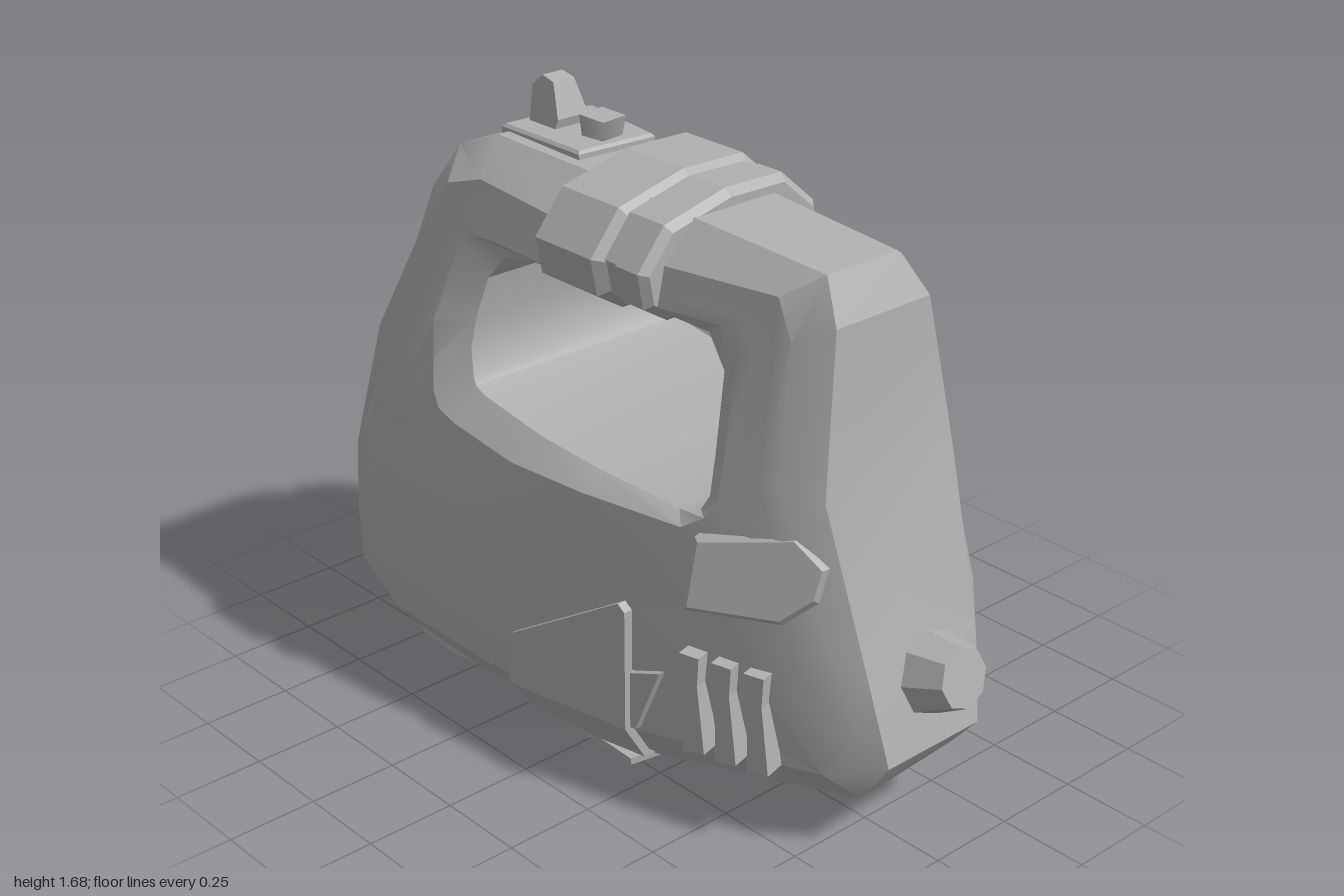
import * as THREE from 'three';
import { toCreasedNormals } from 'three/addons/utils/BufferGeometryUtils.js';

// Piecewise-linear lookup through [key, value] pairs
function curve(table, t) {
  if (t <= table[0][0]) return table[0][1];
  for (let i = 1; i < table.length; i++) {
    const [a, va] = table[i - 1], [b, vb] = table[i];
    if (t <= b) return va + (vb - va) * (t - a) / (b - a);
  }
  return table[table.length - 1][1];
}

// Surface depth of the housing: plan outline times a taper with height
const planFront = [[-1, 0.27], [-0.93, 0.35], [-0.78, 0.425], [-0.5, 0.45], [0, 0.425], [0.3, 0.37], [0.62, 0.285], [0.75, 0.225], [0.9, 0.12]];
const planBack = [[-1, 0.46], [-0.8, 0.475], [-0.1, 0.475], [0.3, 0.45], [0.62, 0.4], [0.75, 0.35], [0.9, 0.26]];
const taperFront = [[0.1, 0.9], [0.25, 1], [0.5, 1], [0.8, 0.93], [1, 0.82], [1.3, 0.63], [1.53, 0.5]];
const taperBack = [[0.1, 0.9], [0.25, 1], [0.5, 1], [0.8, 0.95], [1, 0.88], [1.3, 0.7], [1.53, 0.52]];
const frontZ = (x, y) => curve(planFront, x) * curve(taperFront, y);
const backZ = (x, y) => -curve(planBack, x) * curve(taperBack, y);

// Stations around the grip opening: outer x,y / opening rim x,y / inner edge x,y / edge width
const stations = [
  [-0.97, 0.14, -0.45, 0.86, -0.37, 0.93, 0.75],
  [-1.0, 0.3, -0.48, 0.9, -0.385, 0.95, 0.78],
  [-0.97, 0.52, -0.5, 0.98, -0.41, 1.02, 0.76],
  [-0.86, 0.95, -0.53, 1.07, -0.41, 1.1, 0.74],
  [-0.73, 1.35, -0.48, 1.29, -0.39, 1.21, 0.7],
  [-0.65, 1.48, -0.45, 1.315, -0.34, 1.275, 0.64],
  [-0.5, 1.54, -0.35, 1.32, -0.26, 1.295, 0.6],
  [-0.1, 1.53, -0.1, 1.31, -0.1, 1.29, 0.6],
  [0.2, 1.51, 0.2, 1.31, 0.2, 1.29, 0.6],
  [0.65, 1.48, 0.42, 1.315, 0.37, 1.28, 0.65],
  [0.71, 1.37, 0.48, 1.25, 0.43, 1.2, 0.83],
  [0.74, 0.95, 0.49, 1.0, 0.44, 1.0, 0.87],
  [0.86, 0.52, 0.49, 0.9, 0.44, 0.89, 0.9],
  [0.915, 0.27, 0.46, 0.85, 0.42, 0.85, 0.85],
  [0.84, 0.15, 0.4, 0.81, 0.36, 0.835, 0.78],
  [0.2, 0.09, 0.1, 0.81, 0.1, 0.86, 0.9],
  [-0.3, 0.1, -0.15, 0.81, -0.1, 0.88, 0.9],
  [-0.7, 0.11, -0.38, 0.84, -0.33, 0.915, 0.9],
];

function housingGeometry() {
  const rings = stations.map(([ox, oy, rx, ry, hx, hy, edge]) => {
    const shoulder = 0.1 / Math.hypot(rx - ox, ry - oy);
    const at = t => [ox + (rx - ox) * t, oy + (ry - oy) * t];
    const path = [[ox, oy, edge]];
    for (const k of [0, 0.33, 0.67, 1]) path.push([...at(shoulder + (1 - shoulder) * k), 1]);
    path.push([hx, hy, 0.88]);
    const side = depth => path.map(([x, y, f]) => {
      const z = depth(x, y) * f;
      return [x, y < 0.25 ? y + 0.015 - z * 0.07 : y, z];
    });
    return [...side(frontZ), ...side(backZ).reverse()];
  });
  const n = rings.length, m = rings[0].length, index = [];
  for (let i = 0; i < n; i++) for (let j = 0; j < m; j++) {
    const i2 = (i + 1) % n, j2 = (j + 1) % m;
    const a = i * m + j, b = i * m + j2, c = i2 * m + j2, d = i2 * m + j;
    index.push(a, b, c, a, c, d);
  }
  const g = new THREE.BufferGeometry();
  g.setAttribute('position', new THREE.Float32BufferAttribute(rings.flat(2), 3));
  g.setIndex(index);
  return toCreasedNormals(g, 0.38);
}

const shapeOf = pts => new THREE.Shape(pts.map(p => new THREE.Vector2(...p)));
const slab = (pts, depth, bevel = 0) => new THREE.ExtrudeGeometry(shapeOf(pts), {
  depth, bevelEnabled: bevel > 0, bevelSize: bevel, bevelThickness: bevel, bevelSegments: 1, bevelOffset: -bevel,
});

// Moves every vertex of a geometry by a rule
function warp(g, rule) {
  const p = g.attributes.position;
  for (let i = 0; i < p.count; i++) p.setXYZ(i, ...rule(p.getX(i), p.getY(i), p.getZ(i)));
  g.computeVertexNormals();
  return g;
}

export function createModel() {
  const model = new THREE.Group();
  const grey = new THREE.MeshStandardMaterial({ color: 0xb0b0b0 });
  grey.name = 'grey';
  const add = (name, geometry, pos = [0, 0, 0], rot = [0, 0, 0]) => {
    const mesh = new THREE.Mesh(geometry, grey);
    mesh.name = name;
    mesh.position.set(...pos);
    mesh.rotation.set(...rot);
    model.add(mesh);
  };

  add('housing', housingGeometry());

  // Wrapped bands around the grip, section given as -z,y and run along x
  const band = [[-0.2, 1.25], [-0.28, 1.3], [-0.3, 1.4], [-0.21, 1.51], [0, 1.56], [0.2, 1.555], [0.32, 1.45], [0.35, 1.32], [0.25, 1.25]];
  const wrap = (name, x, width, scale, bevel) => add(name,
    slab(band.map(([z, y]) => [z * scale, 1.4 + (y - 1.4) * scale]).reverse(), width - 2 * bevel, bevel),
    [x + bevel, 0, 0], [0, Math.PI / 2, 0]);
  wrap('gripWrap', -0.18, 0.27, 1.01, 0.03);
  wrap('gripWrapEnd', 0.11, 0.12, 0.95, 0.02);
  wrap('gripWrapJoin', 0.06, 0.1, 0.92, 0.02);

  // Control plate with lever and button on top
  add('controlPlate', slab([[-0.17, -0.1], [0.14, -0.1], [0.16, 0.14], [-0.13, 0.18], [-0.16, 0.1]], 0.025, 0.008),
    [-0.36, 1.522, 0], [-Math.PI / 2, 0, 0]);
  const lever = slab([[-0.5, 1.54], [-0.4, 1.54], [-0.39, 1.58], [-0.425, 1.67], [-0.47, 1.68], [-0.505, 1.65]], 0.1);
  add('lever', warp(lever, (x, y, z) => [x, y, (z - 0.05) * (1.15 - (y - 1.54) * 3.5)]), [0, 0, -0.025]);
  add('button', new THREE.CylinderGeometry(0.06, 0.05, 0.07, 4).rotateY(Math.PI / 4), [-0.28, 1.575, -0.03], [0, 0.1, -0.05]);

  // Nose knob at the narrow end
  const knob = toCreasedNormals(new THREE.CylinderGeometry(0.08, 0.13, 0.17, 8), 0.3);
  add('noseKnob', knob, [0.895, 0.46, -0.085], [0, 0, -Math.PI / 2 + 0.25]);

  // Flat front plate, bent in along its lower edge, with a tail and a fold underneath
  const frontPlate = (name, pts, thick, lift) => add(name, warp(slab(pts, thick),
    (x, y, z) => [x, y, 0.415 + lift - 0.2 * x - 0.6 * Math.max(0, 0.21 - y) + z]));
  frontPlate('frontPlate', [[-0.09, 0.21], [0.28, 0.21], [0.28, 0.55], [0.26, 0.57], [-0.09, 0.36], [-0.1, 0.27]], 0.025, 0.012);
  frontPlate('frontPlateLower', [[-0.07, 0.12], [0.24, 0.09], [0.28, 0.1], [0.28, 0.21], [-0.09, 0.21]], 0.025, 0.012);
  frontPlate('frontPlateTail', [[0.2, 0.21], [0.295, 0.21], [0.37, 0.4], [0.28, 0.37], [0.22, 0.36]], 0.02, 0);
  add('frontPlateFold', slab([[-0.16, -0.1], [0.14, -0.11], [0.18, 0.04], [0.02, 0.11], [-0.14, 0.05]], 0.02),
    [0.12, 0.086, 0.25], [-Math.PI / 2 + 0.07, 0, 0]);

  // Side patch and vent fins
  add('sidePatch', slab([[-0.17, -0.13], [-0.17, 0.06], [0.08, 0.13], [0.17, 0.07], [0.16, -0.02], [0.08, -0.1]], 0.06, 0.012),
    [0.59, 0.73, 0.215], [-0.2, 0.46, 0]);
  for (let i = 0; i < 3; i++) {
    add('vent', slab([[-0.035, 0.14], [0.022, 0.14], [0.018, 0.06], [0.04, -0.13], [-0.022, -0.14], [-0.02, 0.02]], 0.07),
      [0.46 + i * 0.088, 0.355, 0.285 - i * 0.025], [0, 0.25, 0]);
  }

  // Patch, strips and rivets laid on the back
  const backPatch = (name, pts, thick, lift) => add(name, warp(slab(pts, thick),
    (x, y, z) => [x, y, backZ(x, y) - lift + z]));
  backPatch('backPlate', [[0.12, 0.3], [0.4, 0.28], [0.62, 0.3], [0.8, 0.33], [0.78, 0.42], [0.7, 0.65], [0.62, 0.7], [0.3, 0.62]], 0.04, 0.015);
  backPatch('backStripUpright', [[0.22, 0.4], [0.36, 0.42], [0.38, 0.8], [0.24, 0.8]], 0.03, 0.022);
  backPatch('backStripLevel', [[-0.16, 0.4], [0.25, 0.4], [0.25, 0.5], [-0.13, 0.5]], 0.03, 0.016);
  for (const [x, y] of [[0.64, 0.63], [0.73, 0.4]]) {
    add('rivet', new THREE.CylinderGeometry(0.018, 0.022, 0.05, 6), [x, y, backZ(x, y) - 0.008], [-Math.PI / 2, 0, -0.35]);
  }

  // Crossed bent strips on the wide end's rear corner
  const cross = new THREE.Group();
  cross.name = 'crossedStrips';
  for (const [length, width, turn, lift] of [[0.38, 0.11, 0.15, 0.03], [0.22, 0.11, 1.4, 0.045]]) {
    const g = warp(new THREE.BoxGeometry(length, width, 0.03, 4, 1, 1), (x, y, z) => [x, y, z - 1.4 * x * x]);
    const mesh = new THREE.Mesh(toCreasedNormals(g, 0.2), grey);
    mesh.name = 'strip';
    mesh.rotation.z = turn;
    mesh.position.z = lift;
    cross.add(mesh);
  }
  cross.position.set(-0.83, 1.0, -0.3);
  cross.lookAt(-1.7, 1.2, -0.85);
  model.add(cross);

  // Sloped wedge underneath
  const wedge = slab([[-0.79, 0.12], [-0.74, 0.01], [-0.6, 0], [-0.3, 0.04], [-0.28, 0.12]], 0.34);
  add('underWedge', warp(wedge, (x, y, z) => [x, 0.13 + (y - 0.13) * (0.1 + 0.9 * z / 0.34), z]), [0, 0, -0.06]);

  return model;
}
